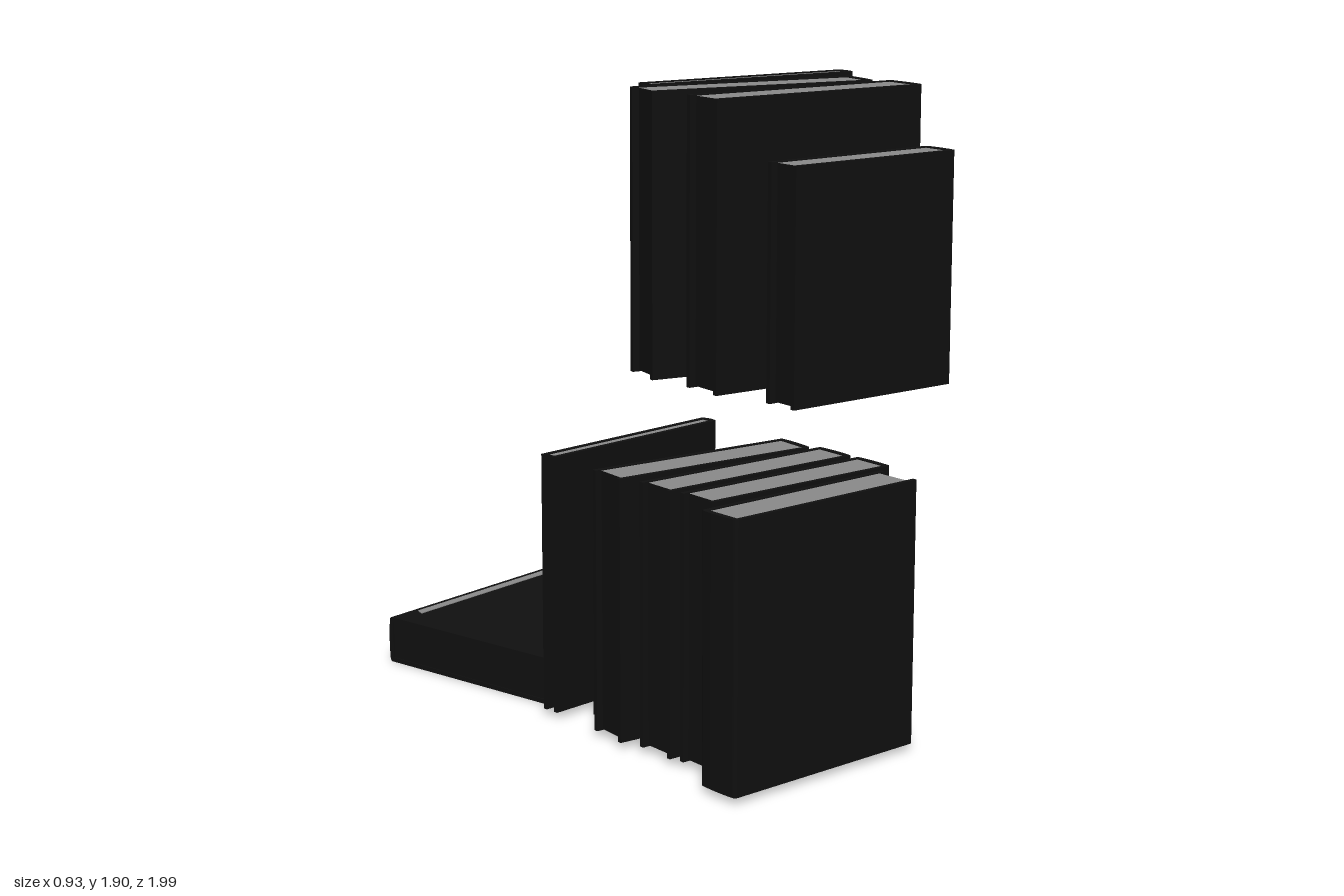
import * as THREE from 'three';

const flat = (name, hex) => {
  const m = new THREE.MeshStandardMaterial({ color: hex });
  m.name = name;
  return m;
};
const cover = flat('black cover', 0x101010);
const paper = flat('grey paper', 0x8a8a8a);
const lightPaper = flat('light paper', 0xbcbcbc);

const BOARD = 0.014, SPINE = 0.018, LIP = 0.02;

// Upright book, centred on the origin: spine at +x, fore edge at -x, head at +y
function makeBook(name, length, thick, height, foreMat, headMat) {
  const book = new THREE.Group();
  book.name = name;
  const x0 = -length / 2, x1 = length / 2, t = thick / 2, inner = t - BOARD;

  // Case: two boards joined by a slightly rounded spine
  const s = new THREE.Shape();
  s.moveTo(x0, -t);
  s.lineTo(x1 - 0.012, -t);
  s.quadraticCurveTo(x1 - 0.004, -t, x1 - 0.003, -t + 0.01);
  s.quadraticCurveTo(x1 + 0.003, 0, x1 - 0.003, t - 0.01);
  s.quadraticCurveTo(x1 - 0.004, t, x1 - 0.012, t);
  s.lineTo(x0, t);
  s.lineTo(x0, inner);
  s.lineTo(x1 - SPINE, inner);
  s.lineTo(x1 - SPINE, -inner);
  s.lineTo(x0, -inner);
  s.closePath();
  const caseGeo = new THREE.ExtrudeGeometry(s, { depth: height, bevelEnabled: false, curveSegments: 4 });
  caseGeo.translate(0, 0, -height / 2).rotateX(-Math.PI / 2);
  const caseMesh = new THREE.Mesh(caseGeo, cover);
  caseMesh.name = 'bookCase';

  // Page block, nearly flush with the boards at head and tail
  const w = length - SPINE - LIP;
  const pages = new THREE.Mesh(
    new THREE.BoxGeometry(w, height - 0.006, inner * 2),
    [cover, foreMat, headMat, cover, cover, cover]
  );
  pages.position.x = x0 + LIP + w / 2;
  pages.name = 'pages';
  book.add(caseMesh, pages);
  return book;
}

// Standing books: [name, fore x, fore z, spine x, spine z, thickness, bottom, top]
const standing = [
  ['upperFrontBook', -0.395, 0.908, 0.155, 0.938, 0.112, 1.12, 1.75],
  ['upperSecondBook', -0.457, 0.67, 0.22, 0.742, 0.136, 1.13, 1.905],
  ['upperThirdBook', -0.447, 0.413, 0.208, 0.58, 0.136, 1.13, 1.905],
  ['upperThinBook', -0.347, 0.312, 0.328, 0.398, 0.066, 1.13, 1.905],
  ['lowerFrontBook', 0.247, 0.71, -0.432, 0.71, 0.14, 0.02, 0.797],
  ['lowerSecondBook', -0.352, 0.53, 0.312, 0.55, 0.136, 0.02, 0.797],
  ['lowerThirdBook', -0.36, 0.365, 0.314, 0.39, 0.136, 0.02, 0.797],
  ['lowerFourthBook', -0.376, 0.172, 0.298, 0.238, 0.136, 0.02, 0.797],
  ['smallBook', -0.26, 0.01, 0.18, 0.018, 0.092, 0.005, 0.512],
  ['lowerThinBook', -0.362, -0.112, 0.314, -0.168, 0.058, 0.02, 0.797],
];

// Lying book: spine to the back, with an angled inlay on its upper cover
function makeLyingBook() {
  const lying = new THREE.Group();
  lying.name = 'lyingBook';
  const book = makeBook('book', 0.68, 0.145, 0.772, paper, lightPaper);
  book.setRotationFromMatrix(new THREE.Matrix4().makeBasis(
    new THREE.Vector3(0, 0, -1), new THREE.Vector3(1, 0, 0), new THREE.Vector3(0, -1, 0)));

  const outline = [
    [-0.30, 0.283], [-0.285, 0.312], [0.30, 0.312], [0.322, 0.29], [0.313, -0.305],
    [0.295, -0.312], [0.28, -0.3], [0.288, 0.265], [0.275, 0.283],
  ].map(([x, y]) => new THREE.Vector2(x, y));
  const inlayGeo = new THREE.ExtrudeGeometry(new THREE.Shape(outline), { depth: 0.003, bevelEnabled: false });
  const inlay = new THREE.Mesh(inlayGeo.rotateX(-Math.PI / 2), paper);
  inlay.name = 'coverInlay';
  inlay.position.y = 0.0715;

  lying.add(book, inlay);
  lying.position.set(0.0225, 0.0725, -0.597);
  lying.rotation.y = 0.176;
  return lying;
}

export function createModel() {
  const model = new THREE.Group();
  model.name = 'bookCollection';
  for (const [name, fx, fz, sx, sz, thick, y0, y1] of standing) {
    const fore = name === 'lowerFrontBook' ? lightPaper : cover;
    const book = makeBook(name, Math.hypot(sx - fx, sz - fz), thick, y1 - y0, fore, paper);
    book.position.set((fx + sx) / 2, (y0 + y1) / 2, (fz + sz) / 2);
    book.rotation.y = Math.atan2(fz - sz, sx - fx);
    model.add(book);
  }
  model.add(makeLyingBook());
  return model;
}
